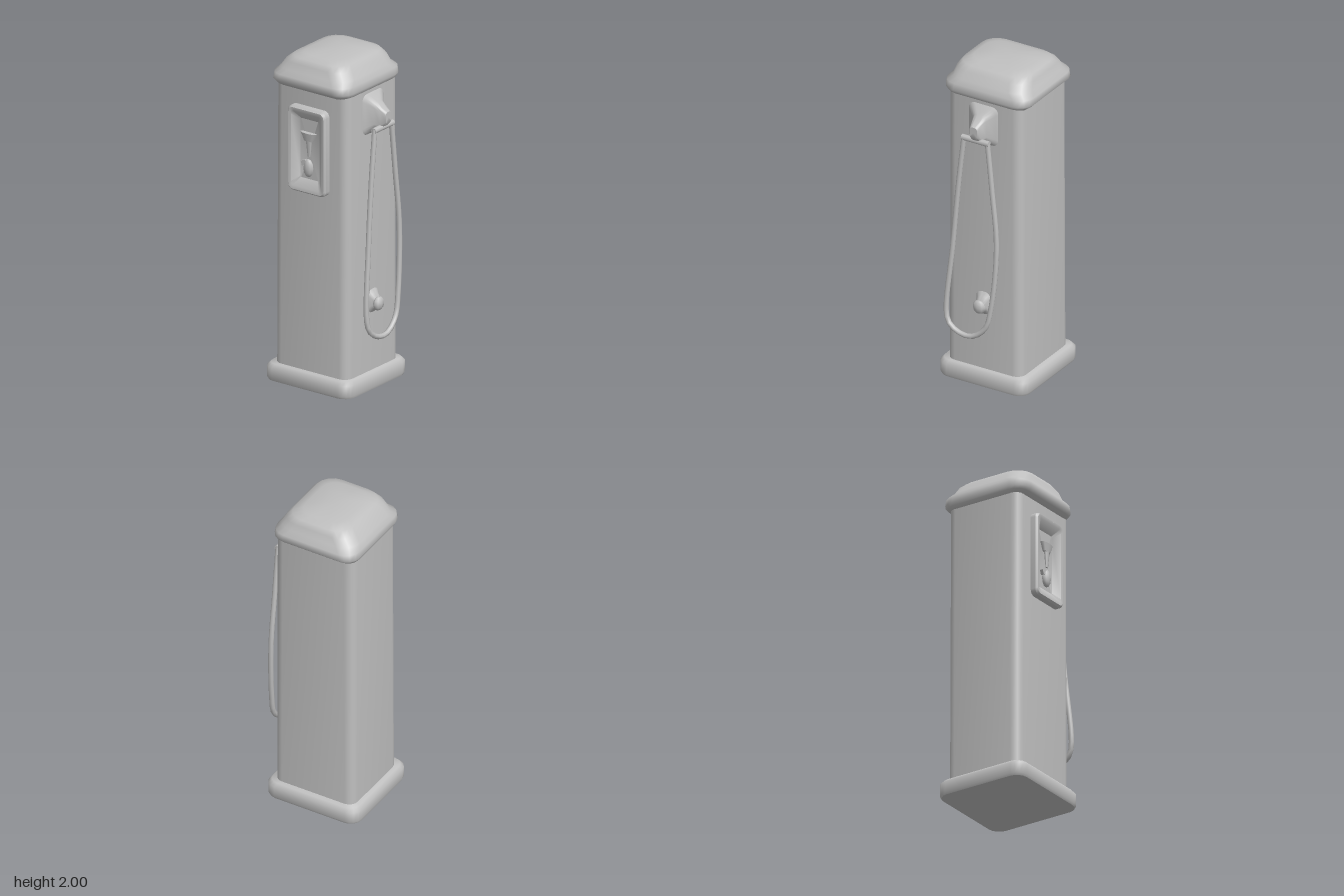
import * as THREE from 'three';
import { toCreasedNormals } from 'three/addons/utils/BufferGeometryUtils.js';

const grey = new THREE.MeshStandardMaterial({ color: 0xbfbfbf });
grey.name = 'plain grey';

// Rounded rectangle outline in the xz plane: [y, centreX, centreZ, halfX, halfZ, cornerRadius]
function ring([y, cx, cz, hx, hz, r], steps = 4) {
  const points = [];
  for (let q = 0; q < 4; q++) {
    const sx = q === 0 || q === 3 ? 1 : -1;
    const sz = q < 2 ? 1 : -1;
    for (let i = 0; i <= steps; i++) {
      const a = (q + i / steps) * Math.PI / 2;
      points.push([cx + sx * (hx - r) + r * Math.cos(a), y, cz + sz * (hz - r) + r * Math.sin(a)]);
    }
  }
  return points;
}

// Closed skin through a stack of rounded rectangles
function loft(sections, crease = 0.6) {
  const rings = sections.map(s => ring(s));
  const n = rings[0].length;
  const positions = rings.flat(2);
  const index = [];
  for (let k = 0; k < rings.length - 1; k++) {
    for (let j = 0; j < n; j++) {
      const a = k * n + j, b = k * n + (j + 1) % n;
      index.push(a, a + n, b, b, a + n, b + n);
    }
  }
  const first = sections[0], last = sections[sections.length - 1];
  const bottom = rings.length * n, top = bottom + 1, base = (rings.length - 1) * n;
  positions.push(first[1], first[0], first[2], last[1], last[0], last[2]);
  for (let j = 0; j < n; j++) {
    const next = (j + 1) % n;
    index.push(bottom, j, next, top, base + next, base + j);
  }
  const g = new THREE.BufferGeometry();
  g.setAttribute('position', new THREE.Float32BufferAttribute(positions, 3));
  g.setIndex(index);
  return toCreasedNormals(g, crease);
}

export function createModel() {
  const model = new THREE.Group();
  model.name = 'fuelPump';
  const add = (name, geometry, x = 0, y = 0, z = 0, parent = model) => {
    const mesh = new THREE.Mesh(geometry, grey);
    mesh.name = name;
    mesh.position.set(x, y, z);
    parent.add(mesh);
    return mesh;
  };

  // Plinth, column and domed lid
  add('base', loft([
    [0, -0.045, 0, 0.298, 0.288, 0.07],
    [0.015, -0.045, 0, 0.303, 0.295, 0.07],
    [0.08, -0.045, 0, 0.303, 0.295, 0.07],
    [0.1, -0.045, 0, 0.285, 0.277, 0.06]
  ], 0.9));
  add('column', loft([
    [0.08, -0.042, 0, 0.262, 0.248, 0.055],
    [0.9, -0.041, 0, 0.261, 0.246, 0.055],
    [1.83, -0.04, 0, 0.258, 0.245, 0.055]
  ]));
  add('lid', loft([
    [1.795, -0.045, 0, 0.252, 0.243, 0.06],
    [1.815, -0.045, 0, 0.268, 0.27, 0.08],
    [1.832, -0.046, 0, 0.275, 0.287, 0.09],
    [1.872, -0.046, 0, 0.27, 0.283, 0.09],
    [1.9, -0.045, 0, 0.25, 0.255, 0.1],
    [1.945, -0.042, 0, 0.222, 0.245, 0.1],
    [1.975, -0.038, 0, 0.19, 0.225, 0.1],
    [1.99, -0.038, 0, 0.14, 0.18, 0.09],
    [2.0, -0.04, 0, 0.05, 0.08, 0.04]
  ], 1.0));

  // Raised dial frame with a sloping recess
  const panel = add('dialFrame', loft([
    [0.235, 0, 0, 0.135, 0.258, 0.035],
    [0.278, 0, 0, 0.135, 0.258, 0.035],
    [0.29, 0, 0, 0.125, 0.248, 0.03],
    [0.288, 0, 0, 0.108, 0.226, 0.02],
    [0.252, 0, 0, 0.068, 0.18, 0.01]
  ]), -0.04, 1.45, 0);
  panel.rotation.x = Math.PI / 2;

  // Sight glass fittings inside the recess
  const fitting = new THREE.Group();
  fitting.name = 'sightGlass';
  fitting.position.set(-0.04, 0, 0.262);
  model.add(fitting);
  const cup = add('cup', new THREE.CylinderGeometry(0.058, 0.035, 0.05, 8), 0, 1.53, 0, fitting);
  cup.scale.z = 0.35;
  add('stem', new THREE.CylinderGeometry(0.022, 0.01, 0.1, 6), 0.003, 1.46, 0, fitting).scale.z = 0.6;
  add('bulb', new THREE.SphereGeometry(1, 8, 6), -0.002, 1.34, 0, fitting).scale.set(0.034, 0.055, 0.022);
  const lug = add('lug', new THREE.BoxGeometry(0.035, 0.03, 0.02), -0.03, 1.37, 0, fitting);
  lug.rotation.z = 0.4;

  // Flared bracket that carries the hose, lofted outwards from the side
  const bracket = add('hoseBracket', loft([
    [0.205, -1.665, 0, 0.135, 0.115, 0.04],
    [0.228, -1.665, 0, 0.115, 0.085, 0.04],
    [0.26, -1.66, 0, 0.08, 0.045, 0.03],
    [0.295, -1.648, 0, 0.062, 0.035, 0.02],
    [0.33, -1.655, 0, 0.035, 0.026, 0.02]
  ], 0.9));
  bracket.rotation.z = -Math.PI / 2;

  // Bar joining the two hose ends
  const bar = add('hoseBar', new THREE.CylinderGeometry(0.018, 0.018, 0.18, 8), 0.295, 1.592, 0.005);
  bar.rotation.x = Math.PI / 2;

  // Hanging hose loop
  const hosePoints = [
    [0.295, 1.6, 0.083], [0.297, 1.3, 0.117], [0.302, 0.9, 0.152], [0.318, 0.46, 0.187],
    [0.325, 0.395, 0.165], [0.328, 0.35, 0.095], [0.328, 0.348, 0.01], [0.322, 0.42, -0.075],
    [0.315, 0.56, -0.11], [0.302, 0.95, -0.138], [0.297, 1.3, -0.105], [0.295, 1.6, -0.073]
  ].map(p => new THREE.Vector3(...p));
  const hosePath = new THREE.CatmullRomCurve3(hosePoints, false, 'centripetal');
  add('hose', new THREE.TubeGeometry(hosePath, 64, 0.0155, 8));

  // Valve low on the side
  const valveMount = add('valveMount', loft([
    [0.21, -0.52, 0, 0.085, 0.055, 0.04],
    [0.235, -0.52, 0, 0.05, 0.035, 0.03],
    [0.262, -0.515, 0, 0.025, 0.022, 0.02]
  ], 0.9));
  valveMount.rotation.z = -Math.PI / 2;
  add('valveKnob', new THREE.SphereGeometry(1, 8, 6), 0.262, 0.51, 0.003).scale.set(0.024, 0.042, 0.042);

  return model;
}
